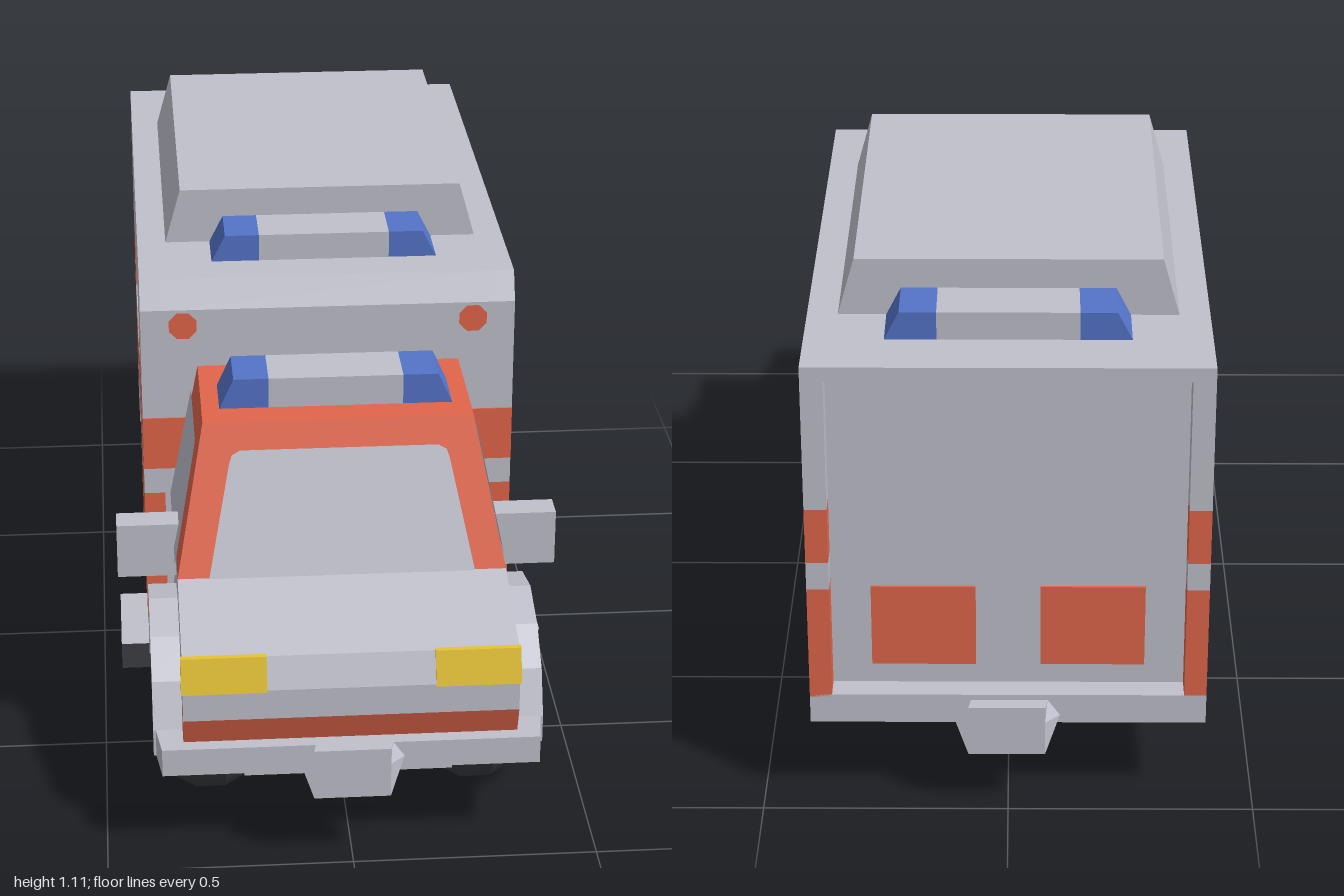
import * as THREE from 'three';
import { toCreasedNormals } from 'three/addons/utils/BufferGeometryUtils.js';

const mat = (name, color) => {
  const m = new THREE.MeshStandardMaterial({ color });
  m.name = name;
  return m;
};

export function createModel() {
  const model = new THREE.Group();
  model.name = 'ambulance';
  const grey = mat('lightGrey', 0xc0c0cc), orange = mat('orange', 0xe2664a);
  const dark = mat('darkRubber', 0x3e3e44), blue = mat('blue', 0x5474c8);
  const yellow = mat('yellow', 0xe0be30);

  const add = (name, geo, material) => {
    const m = new THREE.Mesh(geo, material);
    m.name = name;
    model.add(m);
    return m;
  };
  const shapeOf = (pts) => new THREE.Shape(pts.map(([a, b]) => new THREE.Vector2(a, b)));
  // side profile of [z, y] points, extruded from x0 to x1
  const side = (pts, x0, x1) => {
    const g = new THREE.ExtrudeGeometry(shapeOf(pts.map(([z, y]) => [-z, y])), { depth: x1 - x0, bevelEnabled: false });
    return g.rotateY(Math.PI / 2).translate(x0, 0, 0);
  };
  const rect = (z0, z1, y0, y1) => [[z0, y0], [z1, y0], [z1, y1], [z0, y1]];
  const box = (x0, x1, y0, y1, z0, z1) =>
    new THREE.BoxGeometry(x1 - x0, y1 - y0, z1 - z0).translate((x0 + x1) / 2, (y0 + y1) / 2, (z0 + z1) / 2);
  // move every vertex by a rule
  const warp = (g, fn) => {
    const p = g.attributes.position, v = new THREE.Vector3();
    for (let i = 0; i < p.count; i++) {
      fn(v.fromBufferAttribute(p, i));
      p.setXYZ(i, v.x, v.y, v.z);
    }
    g.computeVertexNormals();
    return g;
  };

  // rear box: inner core leaves recesses for the windows and the back doors
  add('bodyCore', side([[0.29, 0.19], [-0.3, 0.19], [-0.3, 0.25], [-0.92, 0.25], [-0.92, 0.96],
    [-0.97, 0.96], [-0.97, 0.99], [0.26, 0.99], [0.29, 0.93]], -0.355, 0.355), grey);
  const walls = [
    ['lowerSide', orange, [[0.29, 0.19], [-0.31, 0.19], [-0.335, 0.29], [-0.41, 0.375], [-0.5, 0.41], [-0.6, 0.415],
      [-0.69, 0.37], [-0.76, 0.28], [-0.79, 0.25], [-0.97, 0.25], [-0.97, 0.5], [0.29, 0.5]]],
    ['sideBand', grey, rect(0.29, -0.97, 0.5, 0.56)],
    ['frontStripe', orange, rect(0.29, -0.25, 0.56, 0.68)],
    ['rearStripe', orange, rect(-0.75, -0.97, 0.56, 0.68)],
    ['upperSide', grey, [[0.29, 0.68], [-0.25, 0.68], [-0.285, 0.74], [-0.72, 0.74], [-0.75, 0.68],
      [-0.97, 0.68], [-0.97, 0.99], [0.26, 0.99], [0.29, 0.93]]],
    ['rearArch', grey, [[-0.31, 0.19], [-0.335, 0.29], [-0.41, 0.375], [-0.5, 0.41], [-0.6, 0.415], [-0.69, 0.37],
      [-0.76, 0.28], [-0.79, 0.25], [-0.79, 0.19], [-0.735, 0.19], [-0.71, 0.28], [-0.64, 0.35], [-0.545, 0.375],
      [-0.45, 0.35], [-0.38, 0.28], [-0.355, 0.19]]],
    ['frontFender', grey, [[0.87, 0.19], [0.87, 0.25], [0.83, 0.34], [0.75, 0.4], [0.64, 0.43], [0.52, 0.4],
      [0.44, 0.34], [0.4, 0.19], [0.45, 0.19], [0.475, 0.28], [0.545, 0.35], [0.64, 0.375], [0.735, 0.35],
      [0.805, 0.28], [0.83, 0.19]]],
  ];
  for (const [name, m, pts] of walls)
    for (const s of [-1, 1]) {
      const inner = name === 'frontFender' ? 0.33 : 0.355;
      add(name, s > 0 ? side(pts, inner, 0.4) : side(pts, -0.4, -inner), m);
    }
  add('frontWallStripe', box(-0.4, 0.4, 0.56, 0.68, 0.288, 0.293), orange);

  // back door panels and corner badges
  for (const s of [-1, 1]) {
    add('backDoorPanel', box(s * 0.17 - 0.105, s * 0.17 + 0.105, 0.3, 0.48, -0.925, -0.918), orange);
    add('frontBadge', new THREE.CircleGeometry(0.032, 8).rotateZ(Math.PI / 8).translate(s * 0.31, 0.895, 0.294), orange);
    add('sideBadge', new THREE.CircleGeometry(0.032, 8).rotateZ(Math.PI / 8).rotateY(s * Math.PI / 2)
      .translate(s * 0.403, 0.9, -0.88), orange);
  }

  // roof pod
  add('roofPod', warp(box(-0.34, 0.34, 0.985, 1.11, -0.73, 0.05).toNonIndexed(),
    (v) => { if (v.y > 1.05) v.x *= 0.305 / 0.34; }), grey);

  // beacon bars: clear centre, blue ends
  const beacon = (y, h, z0, z1) => {
    add('beaconCentre', box(-0.14, 0.14, y, y + h, z0, z1), grey);
    for (const s of [-1, 1]) {
      const g = box(s > 0 ? 0.14 : -0.245, s > 0 ? 0.245 : -0.14, y, y + h, z0, z1).toNonIndexed();
      add('beaconEnd', warp(g, (v) => { if (v.y > y + h / 2 && Math.abs(v.x) > 0.2) v.x = s * 0.213; }), blue);
    }
  };
  beacon(0.985, 0.063, 0.04, 0.168);
  beacon(0.985, 0.063, -0.845, -0.72);
  beacon(0.795, 0.07, 0.39, 0.51);

  // cab: orange skirt, grey bonnet and doors, orange tapered upper frame
  add('cabSkirt', side([[0.29, 0.19], [0.41, 0.19], [0.41, 0.25], [0.92, 0.25], [0.94, 0.31], [0.29, 0.31]], -0.34, 0.34), orange);
  add('bonnet', side([[0.29, 0.31], [0.94, 0.31], [0.94, 0.375], [0.915, 0.44], [0.69, 0.5], [0.29, 0.5]], -0.34, 0.34), grey);
  const rise = (y) => (y - 0.5) / 0.3;
  add('cabFrame', warp(side([[0.29, 0.5], [0.69, 0.5], [0.575, 0.8], [0.29, 0.8]], -0.34, 0.34),
    (v) => { v.x *= 1 - rise(v.y) * 0.06 / 0.34; }), orange);
  add('windscreen', warp(new THREE.ShapeGeometry(shapeOf([[-0.275, 0.5], [0.275, 0.5], [0.228, 0.72], [0.222, 0.737],
    [0.205, 0.746], [-0.205, 0.746], [-0.222, 0.737], [-0.228, 0.72]])),
    (v) => { v.z = 0.694 - 0.115 * rise(v.y); }), grey);
  for (const s of [-1, 1]) {
    const g = new THREE.ShapeGeometry(shapeOf([[-0.29, 0.5], [-0.63, 0.5], [-0.55, 0.73], [-0.535, 0.745], [-0.29, 0.745]]));
    g.rotateY(s * Math.PI / 2);
    if (s < 0) g.scale(1, 1, -1).index.array.reverse();
    add('sideWindow', warp(g, (v) => { v.x = s * (0.344 - 0.06 * rise(v.y)); }), grey).material.side = THREE.DoubleSide;
    add('headlight', side([[0.897, 0.372], [0.944, 0.372], [0.921, 0.442], [0.912, 0.444]],
      s > 0 ? 0.17 : -0.343, s > 0 ? 0.343 : -0.17), yellow);
    add('mirror', box(s > 0 ? 0.33 : -0.463, s > 0 ? 0.463 : -0.33, 0.435, 0.555, 0.49, 0.55), grey);
    // step below the door, dark at its front end
    add('step', box(s > 0 ? 0.36 : -0.46, s > 0 ? 0.46 : -0.36, 0.128, 0.188, 0.17, 0.4),
      [grey, grey, grey, grey, dark, grey]);
  }

  // chassis and bumpers
  add('chassis', box(-0.215, 0.215, 0.128, 0.25, -0.78, 0.86), grey);
  add('floor', box(-0.4, 0.4, 0.13, 0.192, -0.31, 0.395), grey);
  add('frontBumper', warp(box(-0.4, 0.4, 0.19, 0.25, 0.83, 0.95).toNonIndexed(),
    (v) => { if (v.z > 0.9) v.x *= 0.96; }), grey);
  add('rearBumper', box(-0.4, 0.4, 0.19, 0.255, -0.97, -0.775), grey);

  // skewed hexagonal tow plates on short bars
  const plate = () => {
    const g = new THREE.ExtrudeGeometry(shapeOf([[-0.105, 0.23], [-0.08, 0.155], [0.08, 0.155], [0.105, 0.23],
      [0.08, 0.265], [-0.08, 0.265]]), { depth: 0.03, bevelEnabled: false }).translate(0, 0, 0.97);
    return warp(g, (v) => { v.x = v.z > 0.985 ? Math.min(v.x, 0.075) : Math.max(v.x, -0.075); });
  };
  add('frontTowPlate', plate(), grey);
  add('rearTowPlate', plate().rotateY(Math.PI).translate(0, -0.022, 0), grey);
  add('towBar', box(-0.03, 0.03, 0.2, 0.22, 0.94, 0.975), grey);

  // wheels
  const lathe = (pts) => toCreasedNormals(
    new THREE.LatheGeometry(pts.map(([r, h]) => new THREE.Vector2(r, h)), 24), 0.4).rotateZ(-Math.PI / 2);
  const tyre = lathe([[0, -0.09], [0.15, -0.09], [0.181, -0.03], [0.181, 0.03], [0.15, 0.09], [0.1, 0.09], [0.1, 0.06]]);
  const hub = lathe([[0.1, 0.06], [0.097, 0.092], [0.07, 0.092], [0.06, 0.075], [0.04, 0.075], [0.035, 0.092],
    [0.022, 0.092], [0.018, 0.084], [0, 0.084]]);
  for (const s of [-1, 1])
    for (const z of [0.64, -0.545])
      for (const [name, geo, m] of [['tyre', tyre, dark], ['hub', hub, grey]]) {
        const w = add(name, geo, m);
        w.position.set(s * 0.28, 0.181, z);
        if (s < 0) w.rotation.y = Math.PI;
      }
  return model;
}
